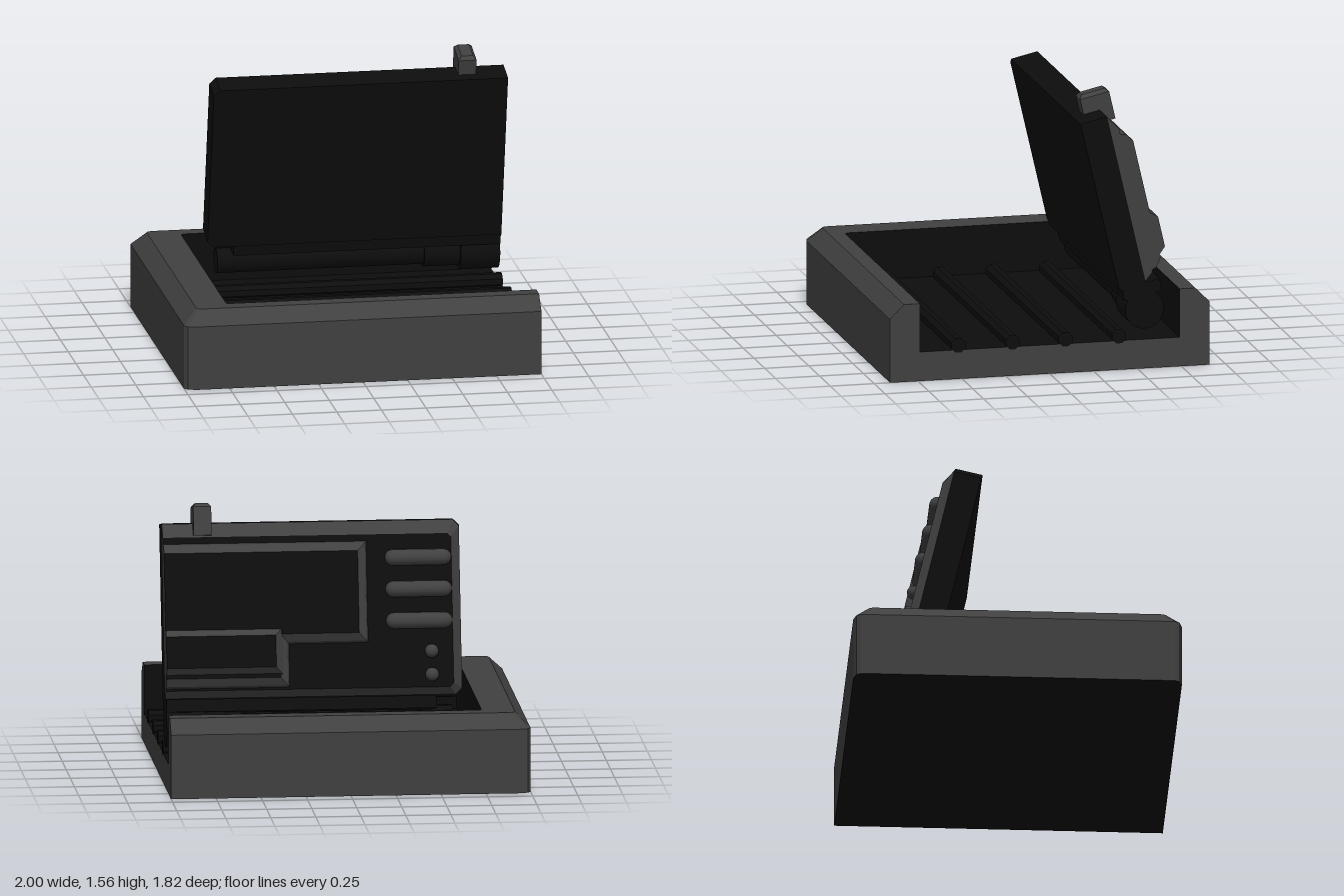
import * as THREE from 'three';

const grey = new THREE.MeshStandardMaterial({ color: 0x404040 });
grey.name = 'greyPlastic';
const black = new THREE.MeshStandardMaterial({ color: 0x0d0d0d });
black.name = 'blackPlastic';

// Skins a stack of loops, each { pts: [[a, b]...] counter-clockwise, h }.
// mats holds one material for the first cap, each band, and the last cap.
function loft(name, loops, mats, place, closed = true) {
  const pos = [], geo = new THREE.BufferGeometry(), used = [grey, black];
  const tri = (p, q, r, mat) => {
    geo.addGroup(pos.length / 3, 3, used.indexOf(mat));
    for (const [pt, h] of [p, r, q]) pos.push(...place(pt[0], pt[1], h));
  };
  const cap = (loop, mat, up) => {
    const v = loop.pts.map(p => new THREE.Vector2(...p));
    for (const [a, b, c] of THREE.ShapeUtils.triangulateShape(v, [])) {
      const [p, q, r] = [a, b, c].map(i => [loop.pts[i], loop.h]);
      if (up) tri(p, q, r, mat); else tri(p, r, q, mat);
    }
  };
  cap(loops[0], mats[0], false);
  for (let k = 0; k + 1 < loops.length; k++) {
    const A = loops[k], B = loops[k + 1], n = A.pts.length;
    for (let i = 0; i < (closed ? n : n - 1); i++) {
      const j = (i + 1) % n;
      tri([A.pts[i], A.h], [A.pts[j], A.h], [B.pts[j], B.h], mats[k + 1]);
      tri([A.pts[i], A.h], [B.pts[j], B.h], [B.pts[i], B.h], mats[k + 1]);
    }
  }
  cap(loops[loops.length - 1], mats[mats.length - 1], true);
  geo.setAttribute('position', new THREE.Float32BufferAttribute(pos, 3));
  geo.computeVertexNormals();
  const mesh = new THREE.Mesh(geo, used);
  mesh.name = name;
  return mesh;
}

const upright = (x, z, h) => [x, h, z];
const backward = (x, y, d) => [x, y, -d];

function add(parent, name, geo, mat, x, y, z) {
  const mesh = new THREE.Mesh(geo, mat);
  mesh.name = name;
  mesh.position.set(x, y, z);
  parent.add(mesh);
  return mesh;
}

// Outline open to the +x end, with cut corners on the other end
const tub = (x0, zh, cx, cz) => [
  [1, zh], [x0 + cx, zh], [x0 + cx * 0.25, zh - cz * 0.35], [x0, zh - cz],
  [x0, cz - zh], [x0 + cx * 0.25, cz * 0.35 - zh], [x0 + cx, -zh], [1, -zh]];

// Panel outline with cut corners at the -x end
const panel = (x0, y0, y1, c) => [
  [x0 + c, y0], [1, y0], [1, y1], [x0 + c, y1], [x0, y1 - c], [x0, y0 + c]];

function makeBase() {
  const base = new THREE.Group();
  base.name = 'base';
  const outer = tub(-1, 0.91, 0.07, 0.04);
  base.add(loft('tray', [
    { pts: outer, h: 0 }, { pts: outer, h: 0.36 },
    { pts: tub(-0.92, 0.83, 0.03, 0.03), h: 0.44 },
    { pts: tub(-0.74, 0.74, 0.02, 0.02), h: 0.44 },
    { pts: tub(-0.74, 0.74, 0.02, 0.02), h: 0.165 },
  ], [black, grey, grey, grey, black, black], upright, false));

  // U-shaped end face
  const u = [[-0.91, 0], [0.91, 0], [0.91, 0.36], [0.83, 0.44], [0.74, 0.44],
    [0.74, 0.165], [-0.74, 0.165], [-0.74, 0.44], [-0.83, 0.44], [-0.91, 0.36]];
  const shape = new THREE.Shape(u.map(p => new THREE.Vector2(...p)));
  const end = add(base, 'trayEnd', new THREE.ShapeGeometry(shape), grey, 1, 0, 0);
  end.rotation.y = Math.PI / 2;

  // Floor ribs
  for (const z of [0.52, 0.21, -0.09, -0.395]) {
    const g = new THREE.CylinderGeometry(0.043, 0.043, 1.69, 8).toNonIndexed();
    g.rotateY(Math.PI / 8).rotateZ(Math.PI / 2);
    g.computeVertexNormals();
    add(base, 'floorRib', g, black, 0.156, 0.19, z);
  }

  // Hinge barrel in stepped segments: start, end, radius
  for (const [a, b, r] of [[0.78, 1, 0.11], [0.58, 0.78, 0.085], [-0.58, 0.58, 0.07]]) {
    const g = new THREE.CylinderGeometry(r, r, b - a, 20).rotateZ(Math.PI / 2);
    add(base, 'hingeBarrel', g, black, (a + b) / 2, 0.335, -0.54);
  }
  return base;
}

function makeScreen() {
  const screen = new THREE.Group();
  screen.name = 'screen';
  screen.position.set(0, 0.45, -0.397);
  screen.rotation.x = THREE.MathUtils.degToRad(13);

  // Display slab and the bevelled rear shell
  const slab = panel(-0.65, 0, 0.982, 0.035);
  screen.add(loft('displaySlab', [{ pts: slab, h: 0 }, { pts: slab, h: 0.155 }],
    [black, black, black], backward));
  screen.add(loft('rearShell', [
    { pts: panel(-0.65, 0.01, 0.975, 0.035), h: 0.155 },
    { pts: panel(-0.6, 0.05, 0.9, 0.02), h: 0.205 },
  ], [black, grey, black], backward));

  // Stepped rear plate
  const step = i => [[0.31 + i, 0.06 + i], [1, 0.06 + i], [1, 0.865 - i],
    [-0.13 + i, 0.865 - i], [-0.13 + i, 0.3 + i], [0.31 + i, 0.3 + i]];
  screen.add(loft('rearPlate', [{ pts: step(0), h: 0.2 }, { pts: step(0.012), h: 0.235 },
    { pts: step(0.055), h: 0.267 }], [grey, grey, grey, black], backward));

  // Raised lower cover
  const cover = i => [[0.35 + i, 0.13 + i], [1, 0.13 + i], [1, 0.39 - i], [0.35 + i, 0.39 - i]];
  screen.add(loft('lowerCover', [{ pts: cover(0), h: 0.26 }, { pts: cover(0.042), h: 0.306 }],
    [grey, grey, black], backward));

  // Grip bars and knobs on the back
  for (const y of [0.77, 0.595, 0.42]) {
    const g = new THREE.CapsuleGeometry(0.045, 0.28, 6, 16).rotateZ(Math.PI / 2);
    add(screen, 'gripBar', g, grey, -0.415, y, -0.205);
  }
  for (const y of [0.25, 0.12])
    add(screen, 'knob', new THREE.SphereGeometry(0.038, 16, 12), grey, -0.48, y, -0.215);

  // Hinge mount under the shell
  add(screen, 'hingeMount', new THREE.BoxGeometry(1.5, 0.07, 0.22), black, 0.25, -0.032, -0.125);

  // Top latch with a bevelled crown
  const latch = i => [[0.73 + i, -0.23 + i], [0.83 - i, -0.23 + i],
    [0.83 - i, -0.06 - i], [0.73 + i, -0.06 - i]];
  screen.add(loft('topLatch', [{ pts: latch(0), h: 0.91 }, { pts: latch(0), h: 1.07 },
    { pts: latch(0.018), h: 1.09 }], [grey, grey, grey, grey], upright));
  return screen;
}

export function createModel() {
  const model = new THREE.Group();
  model.name = 'trayWithScreen';
  model.add(makeBase(), makeScreen());
  return model;
}
